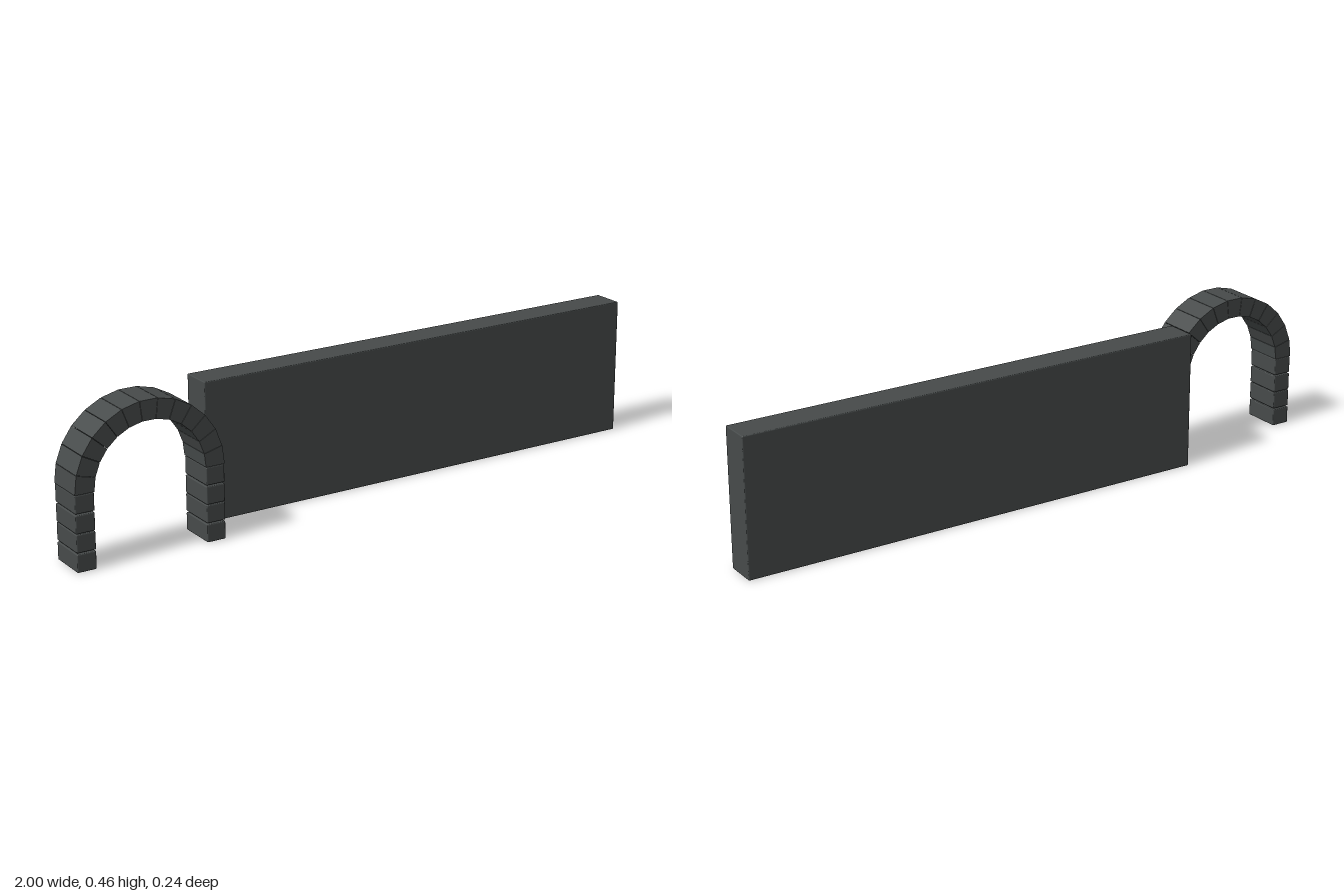
import * as THREE from 'three';
import { RoundedBoxGeometry } from 'three/addons/geometries/RoundedBoxGeometry.js';

const stone = new THREE.MeshStandardMaterial({ color: 0x474b4b });
stone.name = 'dark grey stone';

const ARCH = { x: -0.765, y: 0.228, outer: 0.235, inner: 0.175, back: -0.005, front: 0.119 };
const VOUSSOIRS = 13;

function addMesh(parent, name, geometry, x = 0, y = 0, z = 0) {
  const mesh = new THREE.Mesh(geometry, stone);
  mesh.name = name;
  mesh.position.set(x, y, z);
  parent.add(mesh);
  return mesh;
}

// Wedge-shaped stone centred on the +x axis of the arch circle
function voussoirGeometry(depth) {
  const half = Math.PI / VOUSSOIRS / 2;
  const gap = 0.0006;
  const c = Math.cos(half), s = Math.sin(half);
  const { inner, outer } = ARCH;
  const shape = new THREE.Shape([
    new THREE.Vector2(inner * c, -inner * s + gap),
    new THREE.Vector2(outer * c, -outer * s + gap),
    new THREE.Vector2(outer * c, outer * s - gap),
    new THREE.Vector2(inner * c, inner * s - gap),
  ]);
  return new THREE.ExtrudeGeometry(shape, { depth, bevelEnabled: false });
}

export function createModel() {
  const model = new THREE.Group();
  model.name = 'wallAndArch';

  // Long plain wall slab with slightly eased edges
  addMesh(model, 'wall', new RoundedBoxGeometry(1.512, 0.428, 0.1, 1, 0.003), 0.244, 0.214, -0.069);

  const arch = new THREE.Group();
  arch.name = 'arch';
  model.add(arch);
  const depth = ARCH.front - ARCH.back;
  const midZ = (ARCH.front + ARCH.back) / 2;

  // Two piers of stacked blocks
  const blockWidth = ARCH.outer - ARCH.inner - 0.001;
  const block = new RoundedBoxGeometry(blockWidth, 0.054, depth - 0.001, 1, 0.003);
  const radius = (ARCH.outer + ARCH.inner) / 2;
  for (const side of [-1, 1]) {
    for (const y of [0.028, 0.086, 0.142, 0.2]) {
      addMesh(arch, 'pierBlock', block, ARCH.x + side * radius, y, midZ);
    }
  }

  // Semicircular ring of wedge stones
  const wedge = voussoirGeometry(depth);
  for (let i = 0; i < VOUSSOIRS; i++) {
    const stoneMesh = addMesh(arch, 'voussoir', wedge, ARCH.x, ARCH.y, ARCH.back);
    stoneMesh.rotation.z = (i + 0.5) * Math.PI / VOUSSOIRS;
  }
  return model;
}
